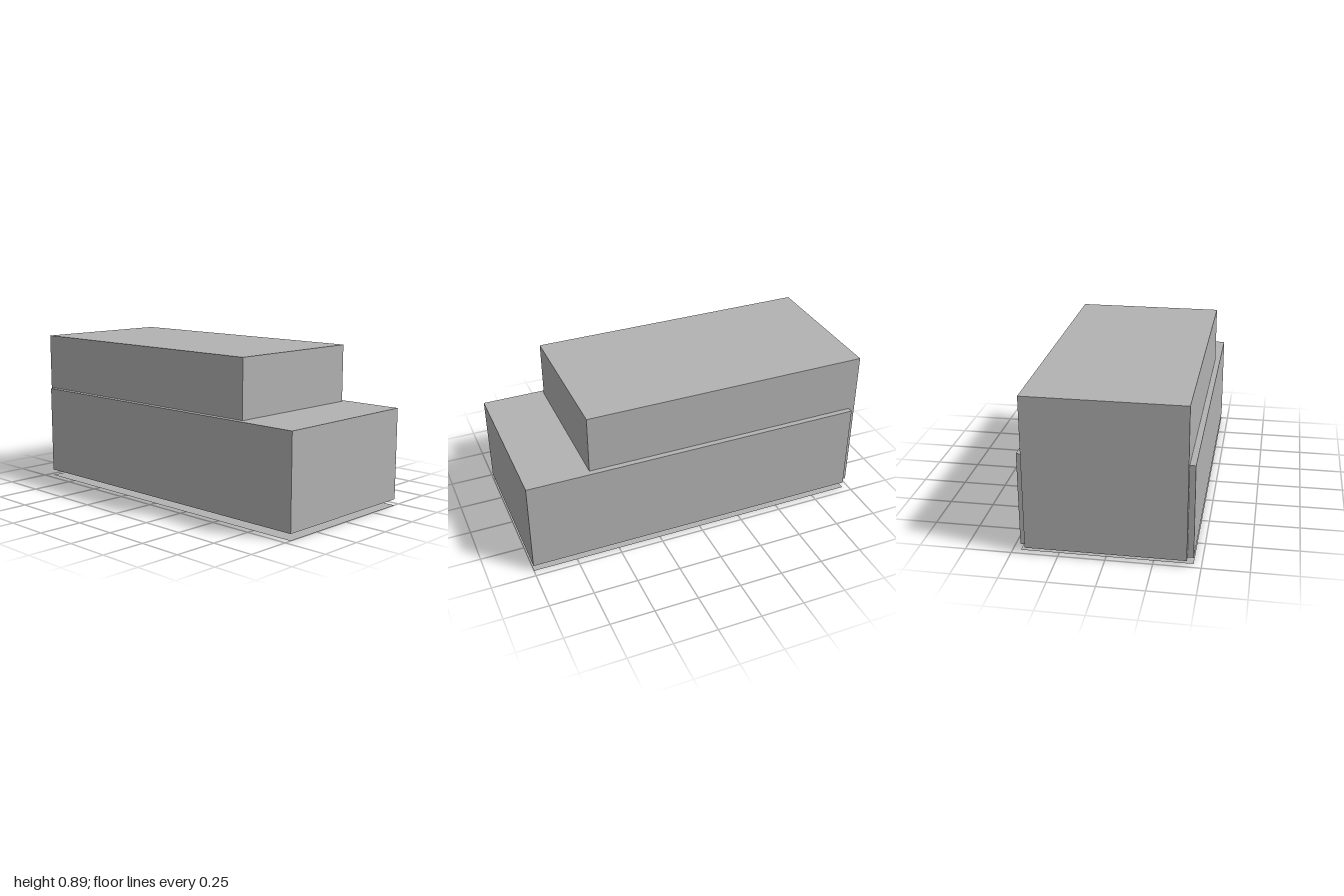
import * as THREE from 'three';

export function createModel() {
  const model = new THREE.Group();
  const grey = new THREE.MeshStandardMaterial({ color: 0xb2b2b2, side: THREE.DoubleSide });
  grey.name = 'grey';

  // Box given by half width and its y and z ranges
  function addBox(name, halfWidth, [y0, y1], [z0, z1]) {
    const mesh = new THREE.Mesh(new THREE.BoxGeometry(halfWidth * 2, y1 - y0, z1 - z0), grey);
    mesh.position.set(0, (y0 + y1) / 2, (z0 + z1) / 2);
    mesh.name = name;
    model.add(mesh);
  }

  // Wide low body, with the taller narrow block running out past its back
  addBox('lowerBody', 0.458, [0.036, 0.559], [-0.964, 1]);
  addBox('upperBody', 0.426, [0.036, 0.888], [-1, 0.641]);

  // Paper-thin sheet on the ground under the body
  const base = new THREE.Mesh(new THREE.PlaneGeometry(0.916, 1.964), grey);
  base.rotation.x = -Math.PI / 2;
  base.position.z = 0.018;
  base.name = 'baseSheet';
  model.add(base);

  return model;
}
